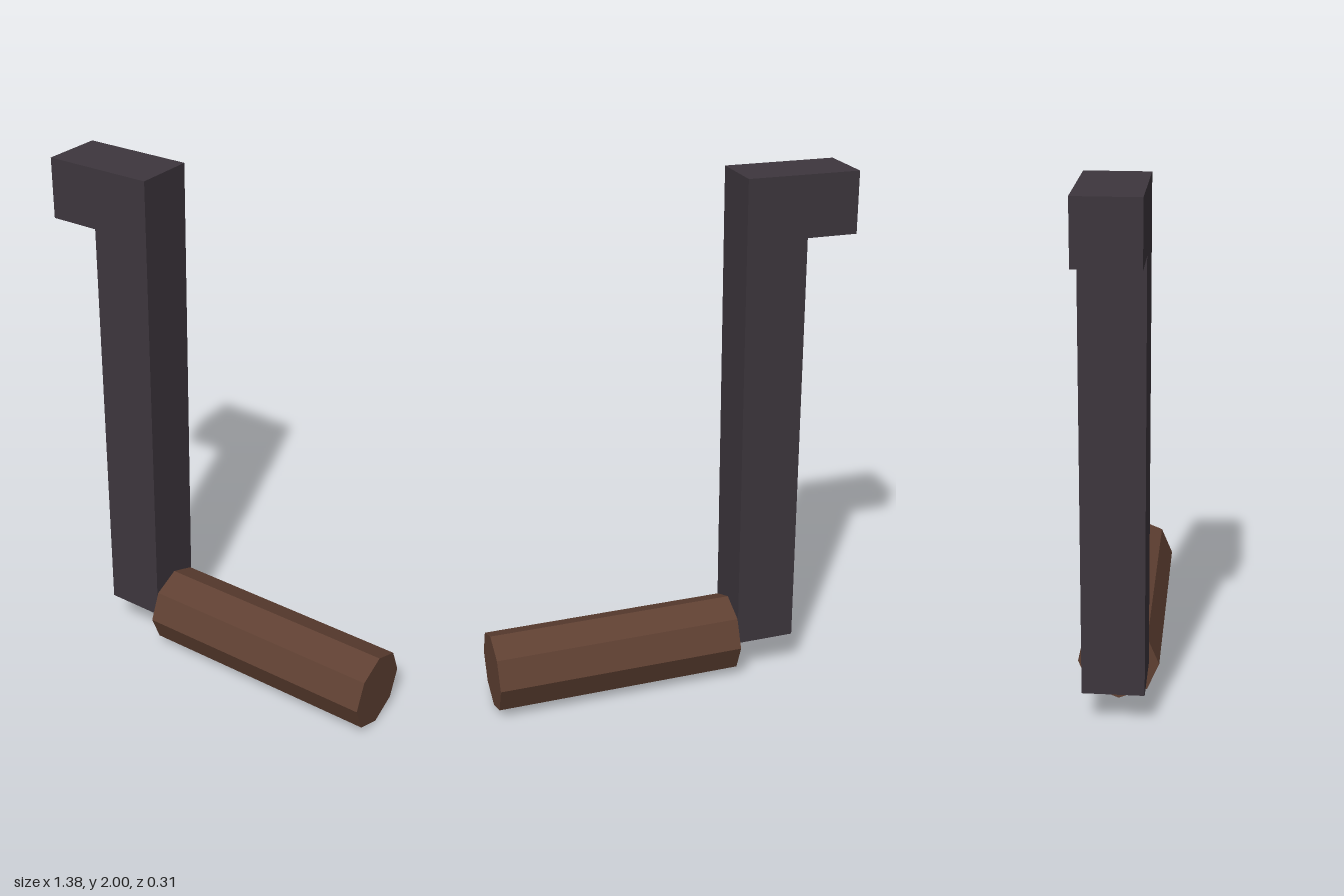
import * as THREE from 'three';

export function createModel() {
  const model = new THREE.Group();
  model.name = 'crankHandle';

  const metal = new THREE.MeshStandardMaterial({ name: 'dark metal', color: 0x3d363d, flatShading: true });
  const wood = new THREE.MeshStandardMaterial({ name: 'brown wood', color: 0x5f4032, flatShading: true });

  // Hooked arm: one L-shaped profile extruded through its depth
  const profile = new THREE.Shape([
    [-0.5, 0.155], [-0.27, 0.155], [-0.27, 2], [-0.69, 2], [-0.69, 1.773], [-0.5, 1.773],
  ].map(([x, y]) => new THREE.Vector2(x, y)));
  const depth = 0.228;
  const armGeometry = new THREE.ExtrudeGeometry(profile, { depth, bevelEnabled: false });
  armGeometry.translate(0, 0, -depth / 2);
  const arm = new THREE.Mesh(armGeometry, metal);
  arm.name = 'arm';
  model.add(arm);

  // Eight-sided grip lying along x, a corner pointing straight up
  const radius = 0.153;
  const gripGeometry = new THREE.CylinderGeometry(radius, radius, 0.96, 8);
  gripGeometry.rotateZ(Math.PI / 2);
  const grip = new THREE.Mesh(gripGeometry, wood);
  grip.name = 'grip';
  grip.position.set(0.21, radius, 0);
  model.add(grip);

  return model;
}
